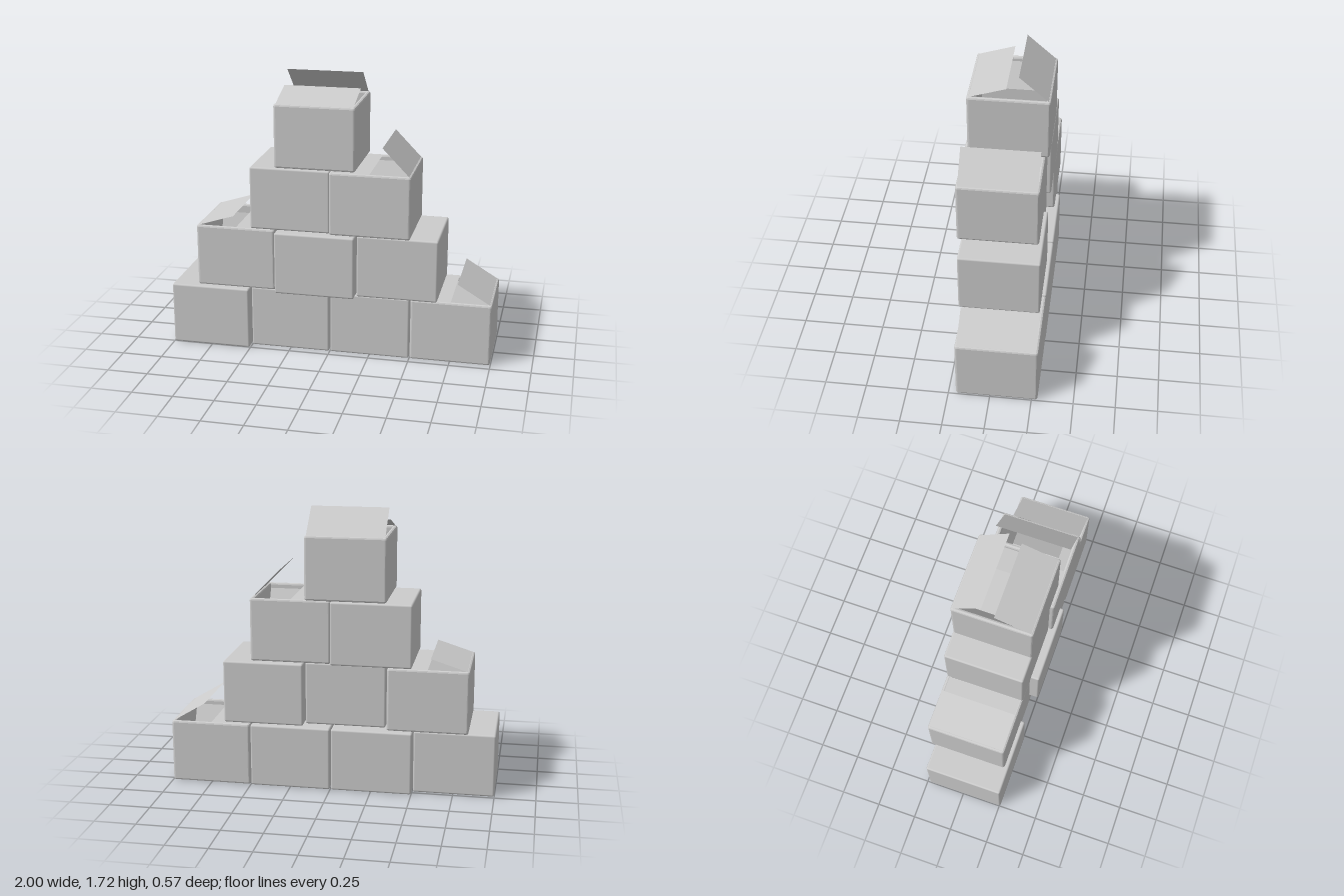
import * as THREE from 'three';
import { RoundedBoxGeometry } from 'three/addons/geometries/RoundedBoxGeometry.js';

const W = 0.495, H = 0.39, D = 0.492, R = 0.012, STEP = 0.3925;
const rad = THREE.MathUtils.degToRad;
const card = new THREE.MeshStandardMaterial({ color: 0xcccccc });
const sheet = new THREE.MeshStandardMaterial({ color: 0xcccccc, side: THREE.DoubleSide });

function add(parent, name, geometry, material = card) {
  const mesh = new THREE.Mesh(geometry, material);
  mesh.name = name;
  parent.add(mesh);
  return mesh;
}

// Rectangle with slightly rounded corners, in the XY plane
function roundedRect(Type, w, d, r) {
  const p = new Type(), x = w / 2 - r, y = d / 2 - r;
  p.absarc(x, y, r, 0, Math.PI / 2);
  p.absarc(-x, y, r, Math.PI / 2, Math.PI);
  p.absarc(-x, -y, r, Math.PI, Math.PI * 1.5);
  p.absarc(x, -y, r, Math.PI * 1.5, Math.PI * 2);
  p.closePath();
  return p;
}

// Flap hinged on a rim edge; side turns it around the box (0 = +x edge),
// positive tilt lifts its free edge, negative tilt folds it into the box
function addFlap(box, name, side, tilt, length) {
  const alongX = Math.round(side / 90) % 2 === 0;
  const width = (alongX ? D : W) - 2 * R;
  const hinge = (alongX ? W : D) / 2 - R;
  const pivot = new THREE.Group();
  pivot.name = name + 'Hinge';
  pivot.rotation.y = rad(side);
  const geo = new THREE.PlaneGeometry(length, width);
  geo.rotateX(-Math.PI / 2);
  geo.translate(-length / 2, 0, 0);
  const flap = add(pivot, name, geo, sheet);
  flap.position.set(hinge, H - 0.001, 0);
  flap.rotation.z = -rad(tilt);
  box.add(pivot);
}

function closedBox() {
  const box = new THREE.Group();
  add(box, 'carton', new RoundedBoxGeometry(W, H, D, 2, R)).position.y = H / 2;
  return box;
}

// Hollow carton: bevelled walls, floor, two large flaps and two folded-in small ones
function openBox({ side, tilts, fold }) {
  const box = new THREE.Group();
  const outline = roundedRect(THREE.Shape, W - 2 * R, D - 2 * R, 0.004);
  outline.holes.push(roundedRect(THREE.Path, W - 2 * R - 0.006, D - 2 * R - 0.006, 0.004));
  const walls = new THREE.ExtrudeGeometry(outline, {
    depth: H - 2 * R, bevelThickness: R, bevelSize: R, bevelSegments: 2, curveSegments: 2,
  });
  walls.rotateX(-Math.PI / 2);
  walls.translate(0, R, 0);
  add(box, 'walls', walls);
  add(box, 'floor', new THREE.BoxGeometry(W - 2 * R, 0.015, D - 2 * R)).position.y = 0.0078;
  addFlap(box, 'largeFlapA', side, tilts[0], 0.232);
  addFlap(box, 'largeFlapB', side + 180, tilts[1], 0.232);
  addFlap(box, 'smallFlapA', side + 90, -fold, 0.2);
  addFlap(box, 'smallFlapB', side + 270, -fold, 0.2);
  return box;
}

export function createModel() {
  const model = new THREE.Group();
  model.name = 'boxPyramid';

  // Rows from the ground up: [centre x, centre z, optional opening]
  const rows = [
    [[-0.752, 0.01], [-0.252, -0.042], [0.25, -0.042],
      [0.75, -0.04, { side: 0, tilts: [31, 0], fold: 65 }]],
    [[-0.588, -0.016, { side: 180, tilts: [17.5, 0], fold: 75 }], [-0.082, 0.036], [0.42, -0.016]],
    [[-0.242, -0.016], [0.253, 0.01, { side: 0, tilts: [46, 0], fold: 65 }]],
    [[-0.087, -0.014, { side: 90, tilts: [41.5, 17.6], fold: 60 }]],
  ];

  rows.forEach((row, i) => row.forEach(([x, z, opening], j) => {
    const box = opening ? openBox(opening) : closedBox();
    box.name = `${opening ? 'openBox' : 'closedBox'}Row${i + 1}Number${j + 1}`;
    box.position.set(x, i * STEP, z);
    model.add(box);
  }));
  return model;
}
